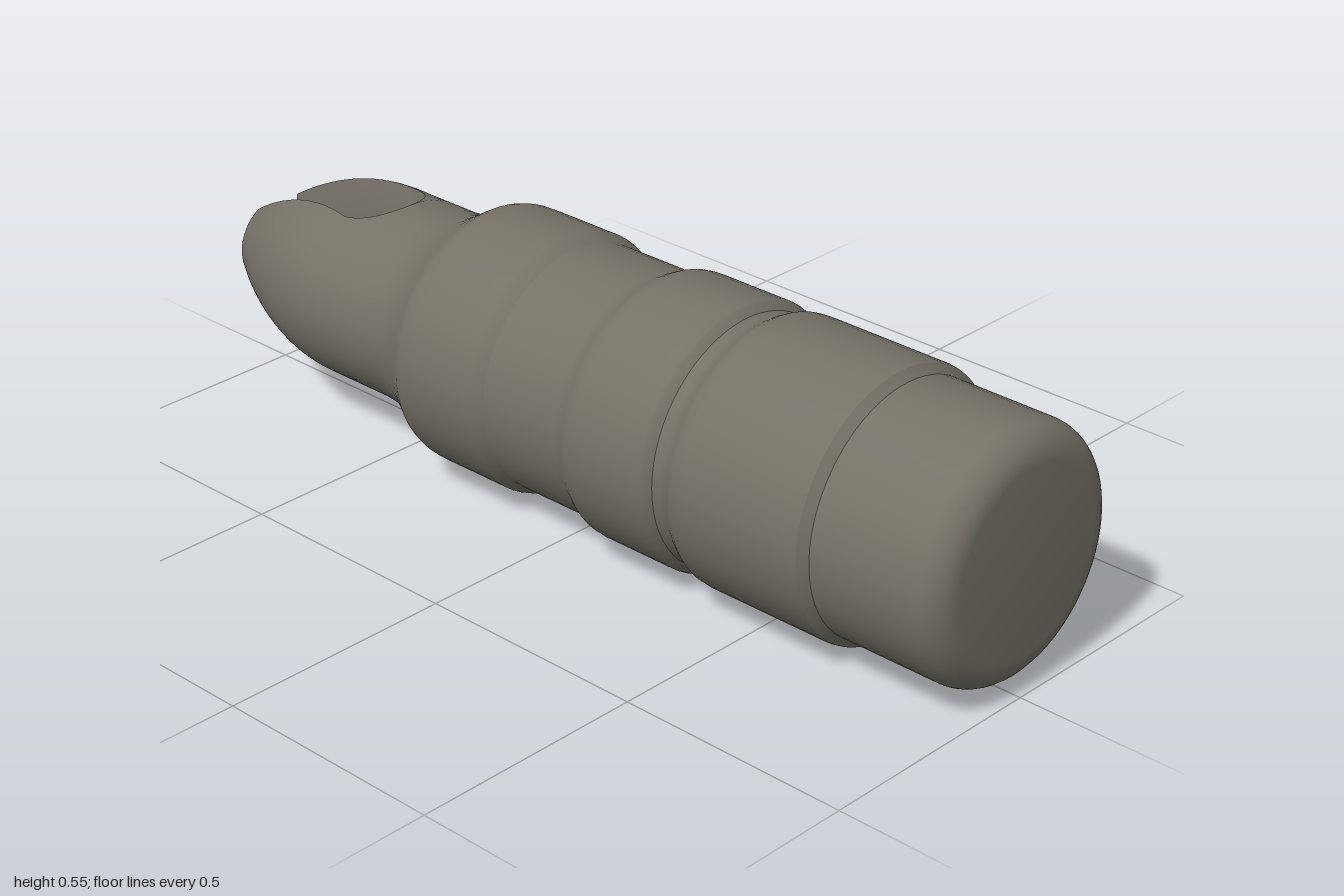
import * as THREE from 'three';
import { toCreasedNormals } from 'three/addons/utils/BufferGeometryUtils.js';

const AXIS_Y = 0.278;   // height of the long axis
const FORK_Z = -0.587;  // where the slot starts to split the body

// vertical flattening of the fork end
const squash = (z) => 1 - 0.055 * THREE.MathUtils.smoothstep(-z, 0.36, 0.5);
// outer radius of the fork, tapering to the tips
const forkRadius = (z) => 0.215 - 0.11 * Math.pow(Math.max(0, -0.7 - z) / 0.3, 1.8);

// ringed body: a turned profile of [z, radius], from the fork to the front end
function bodyGeometry() {
  const profile = [
    [FORK_Z, 0.215], [-0.52, 0.215], [-0.47, 0.218], [-0.43, 0.226], [-0.395, 0.241], [-0.36, 0.261],
    [-0.35, 0.267], [-0.335, 0.271], [-0.31, 0.272],
    [-0.145, 0.272], [-0.135, 0.269], [-0.115, 0.257],
    [0.075, 0.257], [0.09, 0.26], [0.105, 0.268], [0.118, 0.274], [0.135, 0.276],
    [0.305, 0.276], [0.315, 0.273], [0.33, 0.258],
    [0.35, 0.257], [0.363, 0.26], [0.378, 0.269], [0.39, 0.275], [0.41, 0.277],
    [0.685, 0.277], [0.695, 0.275], [0.712, 0.258],
  ];
  // rounded front edge and flat front face
  for (let i = 0; i <= 8; i++) {
    const a = (i / 8) * Math.PI / 2;
    profile.push([0.935 + 0.065 * Math.sin(a), 0.192 + 0.066 * Math.cos(a)]);
  }
  profile.push([1, 0]);
  const geo = new THREE.LatheGeometry(profile.map(([z, r]) => new THREE.Vector2(r, z)), 64);
  geo.rotateX(Math.PI / 2);
  const p = geo.attributes.position;
  for (let i = 0; i < p.count; i++) p.setY(i, p.getY(i) * squash(p.getZ(i)));
  return toCreasedNormals(geo, 0.5);
}

// slot outline: half circle, then a straight wall closing in towards the tip
function slotOutline() {
  const stations = [];
  for (let i = 0; i <= 14; i++) {
    const a = (i / 14) * Math.PI / 2;
    stations.push({ x: 0.078 * Math.sin(a), z: -0.683 + 0.078 * Math.cos(a), nx: Math.sin(a), nz: Math.cos(a), flare: 0.018 });
  }
  for (let i = 1; i <= 16; i++) {
    const t = i / 16;
    stations.push({ x: 0.078 - 0.029 * t, z: -0.683 - 0.317 * t, nx: 1, nz: 0, flare: 0.018 - 0.013 * t });
  }
  return stations;
}

// one prong: D-shaped sections, flared slot wall plus outer arc
function prongGeometry() {
  const WALL = 12, ARC = 32, N = WALL + ARC + 2;
  const pos = [], index = [];
  const stations = slotOutline();
  for (const s of stations) {
    const z = s.z + s.flare * s.nz;
    const r = forkRadius(z), k = squash(z);
    const edgeX = s.x + s.flare * s.nx;
    const edgeY = k * Math.sqrt(r * r - edgeX * edgeX);
    for (let j = 0; j <= WALL; j++) {
      const v = 1 - (2 * j) / WALL;
      const f = s.flare * Math.pow(Math.abs(v), 3);
      pos.push(s.x + f * s.nx, edgeY * v, s.z + f * s.nz);
    }
    const a0 = Math.acos(edgeX / r);
    for (let j = 0; j <= ARC; j++) {
      const a = a0 * ((2 * j) / ARC - 1);
      pos.push(r * Math.cos(a), k * r * Math.sin(a), z);
    }
  }
  for (let i = 0; i < stations.length - 1; i++) {
    for (let j = 0; j < N; j++) {
      if (j === WALL || j === N - 1) continue; // wall and arc meet at shared points
      const a = i * N + j, c = a + N;
      index.push(a, c, a + 1, a + 1, c, c + 1);
    }
  }
  // flat tip
  const last = (stations.length - 1) * N, centre = pos.length / 3;
  pos.push(0.075, 0, -1);
  for (let j = 0; j < N - 1; j++) index.push(centre, last + j + 1, last + j);
  const geo = new THREE.BufferGeometry();
  geo.setAttribute('position', new THREE.Float32BufferAttribute(pos, 3));
  geo.setIndex(index);
  return toCreasedNormals(geo, 0.6);
}

export function createModel() {
  const model = new THREE.Group();
  model.name = 'forkedPlug';
  const material = new THREE.MeshStandardMaterial({ color: 0x757167 });
  material.name = 'warm grey';

  const add = (name, geo) => {
    const mesh = new THREE.Mesh(geo, material);
    mesh.name = name;
    mesh.position.y = AXIS_Y;
    model.add(mesh);
    return mesh;
  };
  add('ringedBody', bodyGeometry());
  const prong = prongGeometry();
  add('leftProng', prong);
  add('rightProng', prong).rotation.z = Math.PI;
  return model;
}
